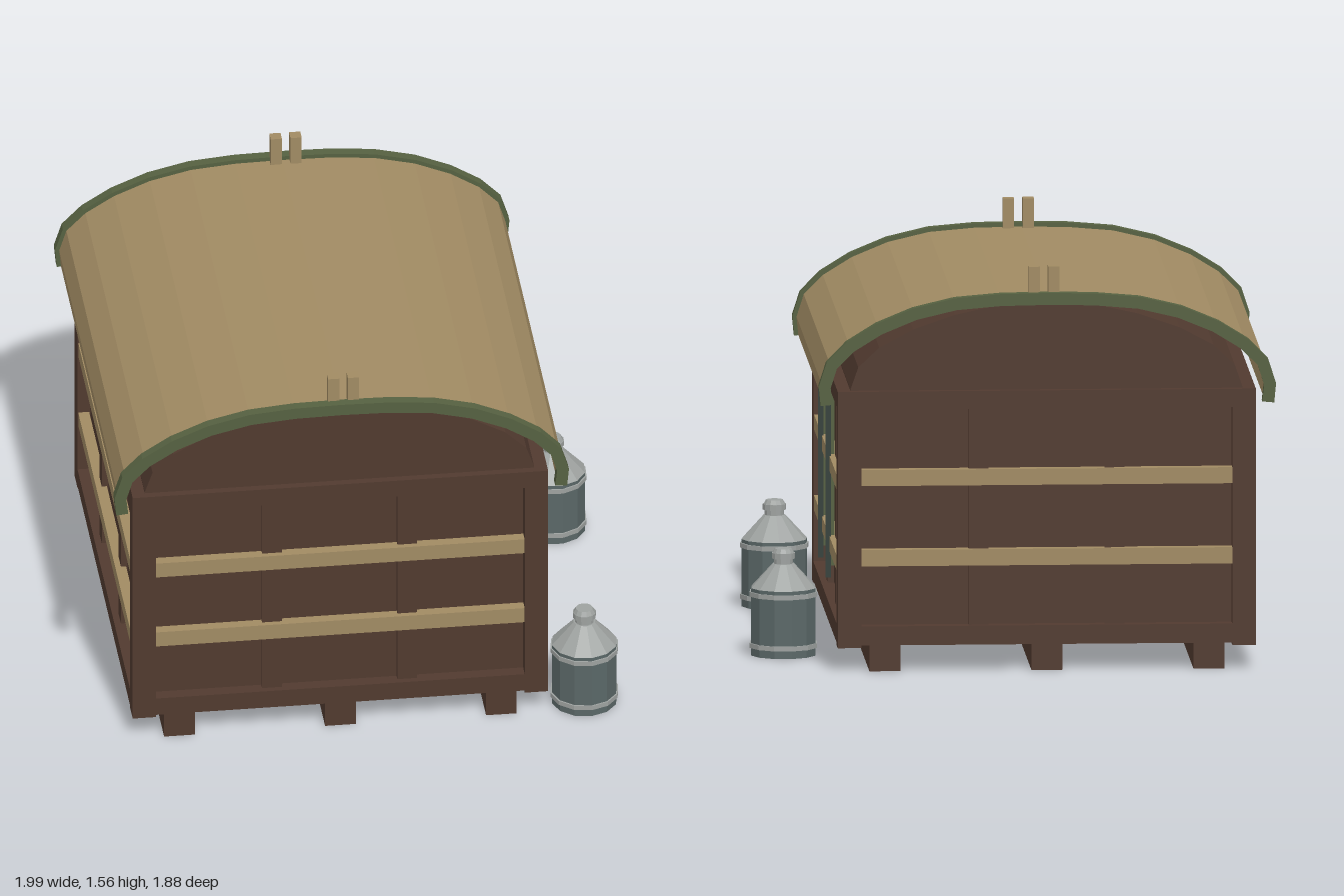
import * as THREE from 'three';

const mat = (name, color) => {
  const m = new THREE.MeshStandardMaterial({ color, flatShading: true });
  m.name = name;
  return m;
};

export function createModel() {
  const brown = mat('dark brown wood', 0x513a2f);
  const tan = mat('tan canvas and slats', 0xa18b63);
  const green = mat('olive trim', 0x566141);
  const strapGreen = mat('dark green strap', 0x343f3a);
  const steel = mat('blue grey steel', 0x5a6767);
  const tin = mat('light grey metal', 0x9ea2a0);

  const model = new THREE.Group();
  model.name = 'coveredCrate';
  const CX = -0.12, CZ = -0.015, HW = 0.8, HL = 0.89; // body centre and half sizes

  const add = (parent, name, geo, material, x = 0, y = 0, z = 0) => {
    const m = new THREE.Mesh(geo, material);
    m.name = name;
    m.position.set(x, y, z);
    parent.add(m);
    return m;
  };
  // box given by its limits
  const box = (parent, name, material, x0, x1, y0, y1, z0, z1) =>
    add(parent, name, new THREE.BoxGeometry(x1 - x0, y1 - y0, z1 - z0), material,
      (x0 + x1) / 2, (y0 + y1) / 2, (z0 + z1) / 2);

  // everything centred on the crate body
  const crate = new THREE.Group();
  crate.name = 'crate';
  crate.position.set(CX, 0, CZ);
  model.add(crate);

  // inner body, corner posts and skids
  box(crate, 'innerBody', brown, -HW + 0.05, HW - 0.05, 0.11, 1.06, -HL + 0.05, HL - 0.05);
  for (const sx of [-1, 1]) for (const sz of [-1, 1]) {
    add(crate, 'cornerPost', new THREE.BoxGeometry(0.09, 0.99, 0.09), brown,
      sx * (HW - 0.045), 0.585, sz * (HL - 0.045));
  }
  for (const x of [-0.62, 0, 0.62]) {
    box(crate, 'skid', brown, x - 0.059, x + 0.059, 0, 0.11, -HL, HL);
  }

  // framed wall with dividers and slats, facing its own +z
  function wall(name, half, dist, angle, slats) {
    const g = new THREE.Group();
    g.name = name;
    g.rotation.y = angle;
    const w = half - 0.09;
    box(g, 'topRail', brown, -w, w, 1.01, 1.08, dist - 0.09, dist);
    box(g, 'bottomRail', brown, -w, w, 0.1, 0.173, dist - 0.09, dist);
    for (const s of [-1, 1]) {
      const x = s * (w * 0.367);
      box(g, 'divider', brown, x - 0.038, x + 0.038, 0.1, 1.01, dist - 0.07, dist - 0.025);
    }
    for (const [y0, y1] of slats) {
      box(g, 'slat', tan, -w, w, y0, y1, dist - 0.045, dist - 0.003);
    }
    crate.add(g);
  }
  const endSlats = [[0.405, 0.468], [0.715, 0.777]];
  const sideSlats = [[0.37, 0.428], [0.682, 0.74]];
  wall('frontWall', HW, HL, 0, endSlats);
  wall('backWall', HW, HL, Math.PI, endSlats);
  wall('rightWall', HL, HW, Math.PI / 2, sideSlats);
  wall('leftWall', HL, HW, -Math.PI / 2, sideSlats);

  // mirror a half profile [x, y] into a full left-to-right one
  const mirror = (half) => [
    ...half.map(([x, y]) => new THREE.Vector2(-x, y)),
    ...half.slice(0, -1).reverse().map(([x, y]) => new THREE.Vector2(x, y)),
  ];
  // shift an arch profile inwards by d
  const inset = (pts, d) => pts.map((p, i) => {
    const t = pts[Math.min(i + 1, pts.length - 1)].clone().sub(pts[Math.max(i - 1, 0)]).normalize();
    return new THREE.Vector2(p.x + t.y * d, p.y - t.x * d);
  });
  const extrude = (parent, name, pts, z0, z1, material) => {
    const geo = new THREE.ExtrudeGeometry(new THREE.Shape(pts), {
      depth: z1 - z0, bevelEnabled: false, curveSegments: 1,
    });
    return add(parent, name, geo, material, 0, 0, z0);
  };

  // rounded wooden top under the canvas
  const dome = mirror([[0.75, 1.06], [0.75, 1.085], [0.72, 1.17], [0.64, 1.246],
    [0.51, 1.315], [0.35, 1.37], [0.185, 1.406], [0, 1.417]]);
  extrude(crate, 'domedTop', dome, -HL + 0.03, HL - 0.03, brown);

  // canvas roof and its trim at both ends
  const arch = mirror([[0.868, 1.032], [0.875, 1.107], [0.845, 1.2], [0.768, 1.278],
    [0.655, 1.348], [0.515, 1.406], [0.355, 1.444], [0.18, 1.459], [0, 1.462]]);
  const band = (a, b) => [...inset(arch, a), ...inset(arch, b).reverse()];
  extrude(crate, 'canvasRoof', band(0.016, 0.034), -HL, HL, tan);
  extrude(crate, 'frontTrim', band(0, 0.046), HL, HL + 0.04, green);
  extrude(crate, 'backTrim', band(0, 0.046), -HL - 0.04, -HL, green);

  // pairs of pegs on the ridge
  for (const z of [0.875, -0.882]) for (const x of [-0.046, 0.03]) {
    box(crate, 'peg', tan, x - 0.002, x + 0.041, 1.42, 1.56, z - 0.022, z + 0.022);
  }

  // hanging straps on the right side
  for (const z of [0.248, -0.273]) {
    box(model, 'strap', strapGreen, 0.672, 0.692, 0.27, 1.08, z - 0.011, z + 0.011);
  }
  for (const z of [0.284, -0.236]) {
    box(model, 'thinStrap', green, 0.655, 0.683, 0.31, 1.08, z - 0.004, z + 0.004);
  }

  // milk churns, stacked from short cylinders
  function churn(x, z, turn) {
    const g = new THREE.Group();
    g.name = 'churn';
    g.position.set(x, 0, z);
    g.rotation.y = turn;
    const ring = (name, material, r0, r1, y0, y1) =>
      add(g, name, new THREE.CylinderGeometry(r1, r0, y1 - y0, 12), material, 0, (y0 + y1) / 2, 0);
    ring('churnBody', steel, 0.127, 0.127, 0, 0.26);
    ring('lowerBand', tin, 0.133, 0.133, 0.03, 0.048);
    ring('upperBand', tin, 0.133, 0.133, 0.228, 0.246);
    ring('shoulder', tin, 0.127, 0.042, 0.26, 0.352);
    ring('neck', tin, 0.037, 0.037, 0.345, 0.385);
    ring('lid', tin, 0.045, 0.045, 0.372, 0.394);
    ring('lidTop', tin, 0.042, 0.033, 0.394, 0.41);
    model.add(g);
  }
  churn(0.828, 0.805, 0.1);
  churn(0.863, -0.45, 0.2);

  return model;
}
